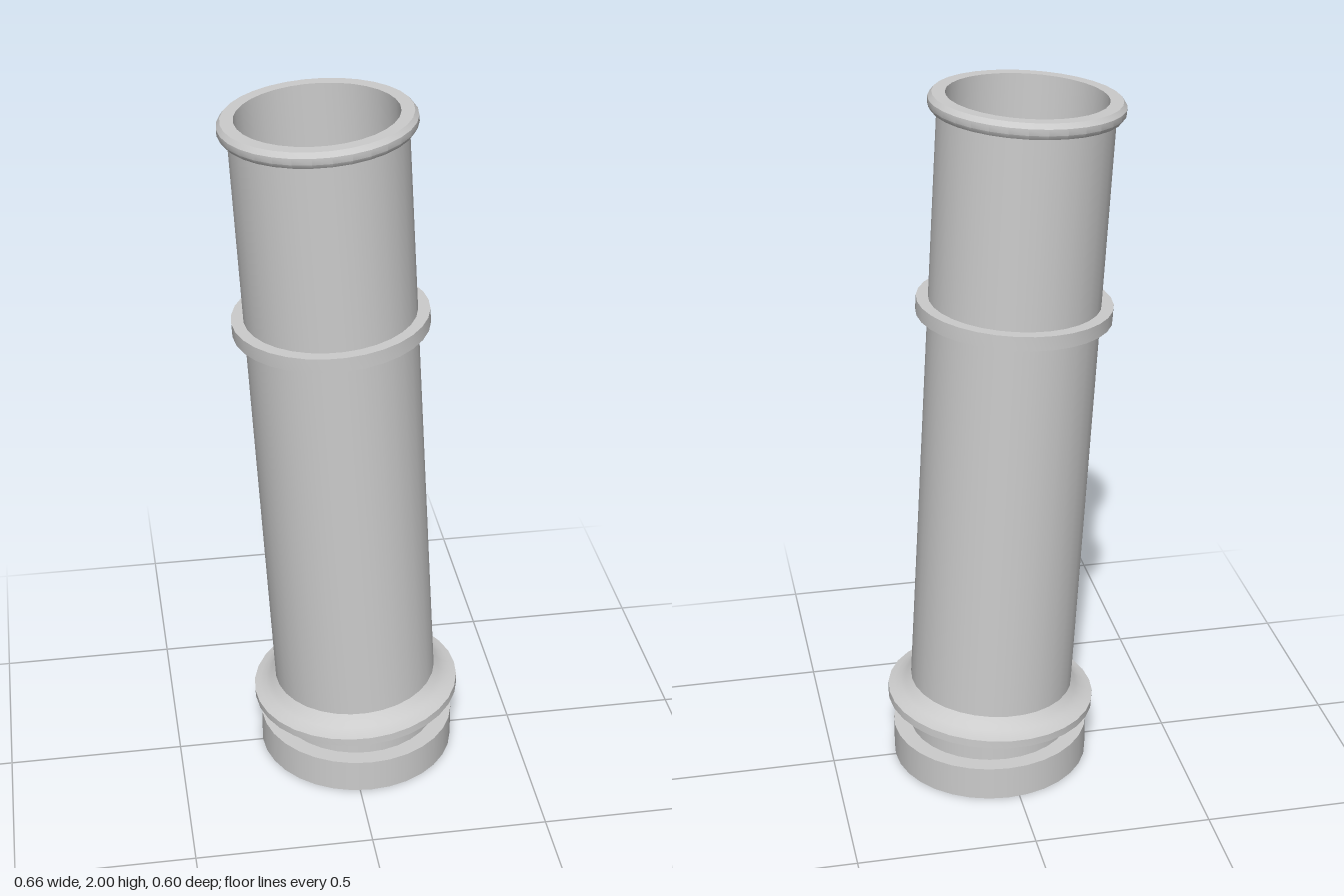
import * as THREE from 'three';
import { toCreasedNormals } from 'three/addons/utils/BufferGeometryUtils.js';

const SIDES = 32;
const LEAN = THREE.MathUtils.degToRad(3.3);

export function createModel() {
  const model = new THREE.Group();
  model.name = 'leaningPipe';
  const material = new THREE.MeshStandardMaterial({ color: 0xcccccc });
  const inner = new THREE.MeshStandardMaterial({ color: 0xcccccc, side: THREE.DoubleSide });

  const add = (name, geometry, parent = model, mat = material) => {
    const mesh = new THREE.Mesh(geometry, mat);
    mesh.name = name;
    parent.add(mesh);
    return mesh;
  };
  // Surface of revolution with sharp edges kept
  const turned = (points) => toCreasedNormals(
    new THREE.LatheGeometry(points.map(([r, y]) => new THREE.Vector2(r, y)), SIDES), 0.6);

  // Upright foot and neck
  add('base', new THREE.CylinderGeometry(0.283, 0.283, 0.1, SIDES)).position.set(0.032, 0.05, 0);
  add('neck', new THREE.CylinderGeometry(0.235, 0.235, 0.1, SIDES, 1, true), model, inner)
    .position.set(0.031, 0.15, 0);

  // Tapered seat inside the neck: its upper edge follows the leaning bore
  const seat = new THREE.CylinderGeometry(0.215, 0.165, 0.1, SIDES, 1, true);
  const p = seat.attributes.position;
  for (let i = 0; i < p.count; i++) {
    const upper = p.getY(i) > 0;
    const x = p.getX(i);
    p.setXYZ(i, x + (upper ? 0.03 : 0.06), upper ? 0.18 + x * Math.tan(LEAN) : 0.101, p.getZ(i));
  }
  seat.computeVertexNormals();
  add('innerSeat', seat, model, inner);

  // Everything above the neck leans towards -x
  const barrel = new THREE.Group();
  barrel.name = 'leaningBarrel';
  barrel.position.x = 0.041;
  barrel.rotation.z = LEAN;
  model.add(barrel);

  // Hollow tube with flared skirt at the bottom and bevelled lip at the top
  add('tube', turned([
    [0.215, 0.18], [0.3, 0.18], [0.3, 0.203],
    [0.283, 0.207], [0.265, 0.215], [0.25, 0.226], [0.235, 0.243],
    [0.235, 1.945], [0.252, 1.945], [0.26, 1.957], [0.26, 1.974], [0.25, 1.987],
    [0.215, 1.987], [0.215, 0.18],
  ]), barrel);

  // Raised band around the tube
  add('band', turned([
    [0.23, 1.382], [0.268, 1.382], [0.268, 1.422], [0.23, 1.422],
  ]), barrel);

  return model;
}
